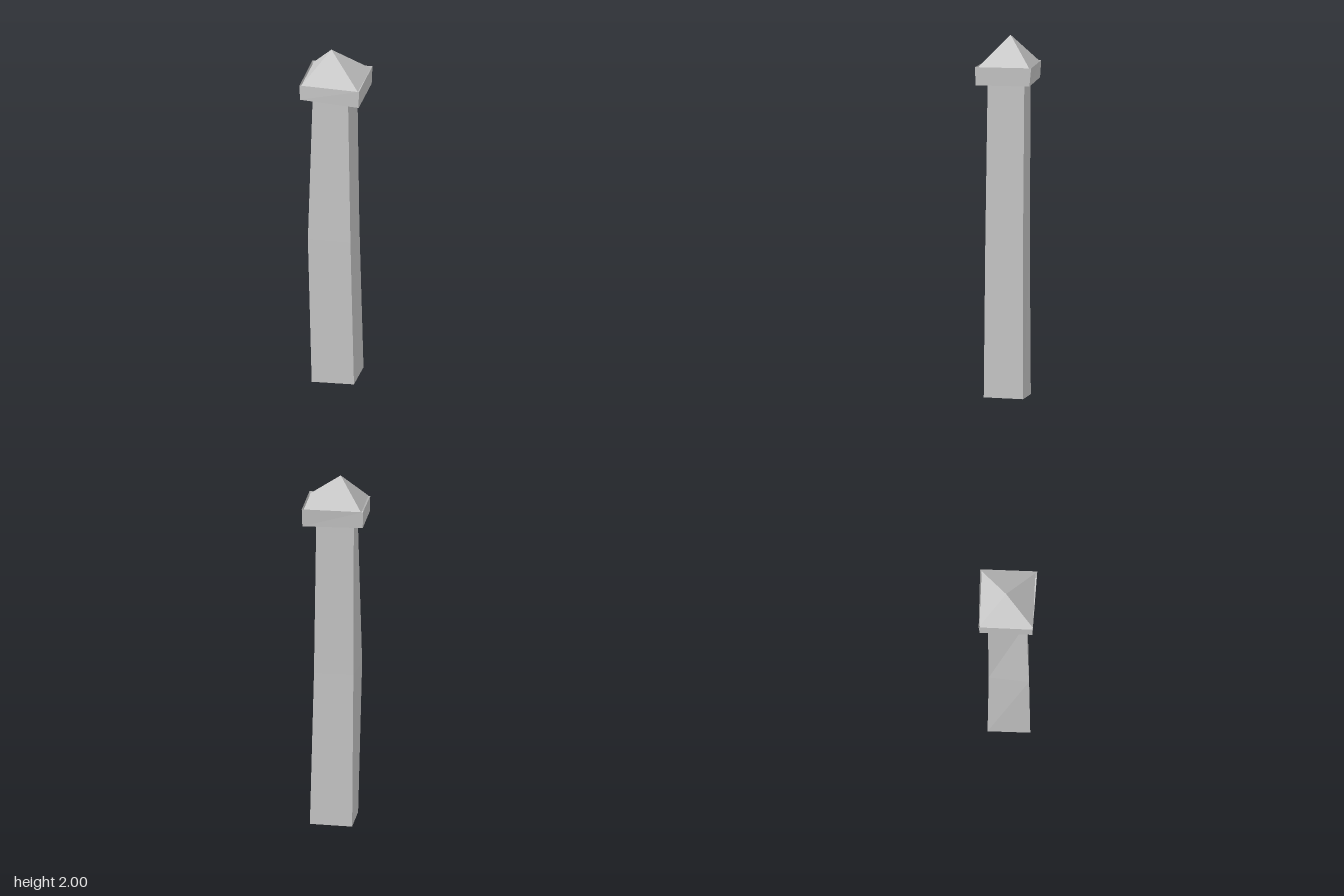
import * as THREE from 'three';

const stone = new THREE.MeshStandardMaterial({ color: 0xcccccc, side: THREE.DoubleSide });
stone.name = 'paleStone';

// Skins four-cornered rings, listed bottom to top; corners run
// front right side (-x), front left side (+x), back (+x), back (-x).
function loft(name, rings, closeBottom = false) {
  const pos = [];
  const tri = (...corners) => corners.forEach((p) => pos.push(...p));
  for (let r = 0; r < rings.length - 1; r++) {
    const low = rings[r], high = rings[r + 1];
    for (let i = 0; i < 4; i++) {
      const j = (i + 1) % 4;
      tri(low[i], low[j], high[j]);
      if (high[i] !== high[j]) tri(low[i], high[j], high[i]);
    }
  }
  if (closeBottom) {
    const [a, b, c, d] = rings[0];
    tri(a, d, c);
    tri(a, c, b);
  }
  const geometry = new THREE.BufferGeometry();
  geometry.setAttribute('position', new THREE.Float32BufferAttribute(pos, 3));
  geometry.computeVertexNormals(); // unshared corners give flat facets
  const mesh = new THREE.Mesh(geometry, stone);
  mesh.name = name;
  return mesh;
}

export function createModel() {
  const group = new THREE.Group();
  group.name = 'stonePost';

  // Slightly crooked shaft, open underneath
  group.add(loft('shaft', [
    [[-0.105, 0.005, 0.128], [0.13, 0.01, 0.113], [0.13, 0.005, -0.107], [-0.104, 0, -0.107]],
    [[-0.128, 0.88, 0.122], [0.109, 0.88, 0.108], [0.108, 0.88, -0.102], [-0.11, 0.88, -0.1]],
    [[-0.105, 1.75, 0.106], [0.093, 1.75, 0.098], [0.095, 1.75, -0.107], [-0.113, 1.75, -0.105]],
  ]));

  // Collar: a shallow open tray with a floor
  group.add(loft('collar', [
    [[-0.168, 1.748, 0.142], [0.166, 1.743, 0.151], [0.166, 1.743, -0.148], [-0.168, 1.748, -0.147]],
    [[-0.17, 1.836, 0.143], [0.168, 1.844, 0.156], [0.168, 1.845, -0.158], [-0.17, 1.842, -0.153]],
  ], true));

  // Four-sided pointed roof, resting in the collar
  const apex = [-0.027, 2, -0.008];
  group.add(loft('roof', [
    [[-0.16, 1.837, 0.145], [0.16, 1.837, 0.145], [0.16, 1.837, -0.149], [-0.16, 1.837, -0.149]],
    [apex, apex, apex, apex],
  ]));

  return group;
}
